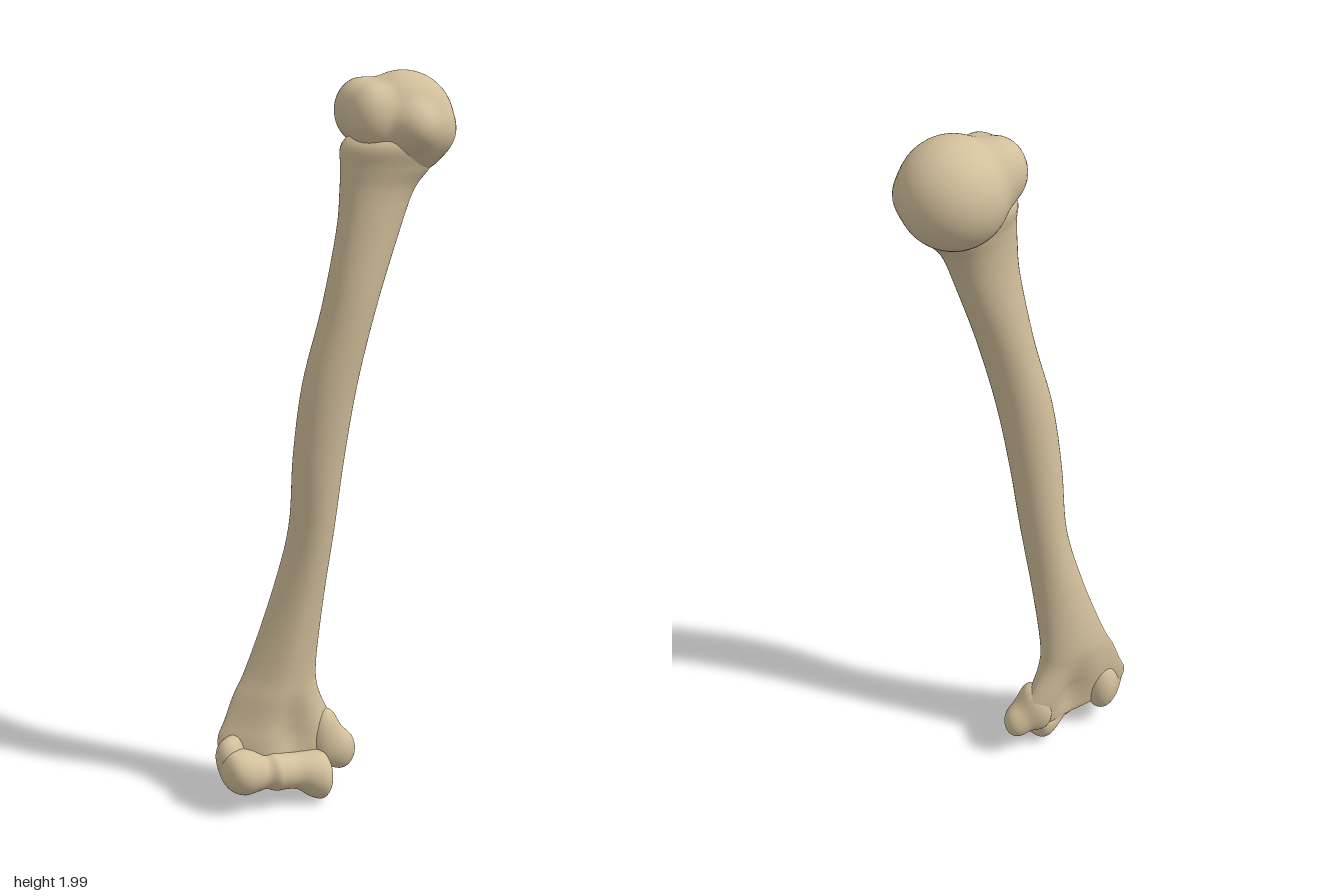
import * as THREE from 'three';
import { mergeVertices } from 'three/addons/utils/BufferGeometryUtils.js';

// Smooth interpolation through rows of section numbers
function sampleRows(rows, u) {
  const i = Math.min(Math.floor(u), rows.length - 2), t = u - i;
  const row = k => rows[Math.max(0, Math.min(rows.length - 1, k))];
  return rows[i].map((b, k) => {
    const c = row(i + 1)[k], m0 = (c - row(i - 1)[k]) / 2, m1 = (row(i + 2)[k] - b) / 2;
    return b + m0 * t + (3 * (c - b) - 2 * m0 - m1) * t * t + (2 * (b - c) + m0 + m1) * t * t * t;
  });
}

// Skin closed rings; place(row, angle) gives a point of the ring
function loft(rows, steps, sides, place) {
  const positions = [], index = [], rings = (rows.length - 1) * steps;
  for (let i = 0; i <= rings; i++) {
    const row = sampleRows(rows, i / steps);
    for (let j = 0; j < sides; j++) positions.push(...place(row, (j / sides) * Math.PI * 2));
  }
  for (let i = 0; i < rings; i++) for (let j = 0; j < sides; j++) {
    const k = (j + 1) % sides, a = i * sides + j, b = i * sides + k;
    index.push(a, a + sides, b, b, a + sides, b + sides);
  }
  const geo = new THREE.BufferGeometry();
  geo.setAttribute('position', new THREE.Float32BufferAttribute(positions, 3));
  geo.setIndex(index);
  geo.computeVertexNormals();
  return geo;
}

// Push a sphere out from a centre onto a soft union of ellipsoids [x, y, z, rx, ry, rz]
function blend(center, lumps, soft) {
  const field = p => lumps.reduce((d, [x, y, z, a, b, c]) => {
    const e = (Math.hypot((p.x - x) / a, (p.y - y) / b, (p.z - z) / c) - 1) * Math.min(a, b, c);
    const h = Math.max(soft - Math.abs(d - e), 0) / soft;
    return Math.min(d, e) - h * h * soft / 4;
  }, 10);
  let geo = new THREE.SphereGeometry(1, 64, 44);
  geo.deleteAttribute('uv');
  geo.deleteAttribute('normal');
  geo = mergeVertices(geo, 1e-4);
  const pos = geo.attributes.position, dir = new THREE.Vector3(), p = new THREE.Vector3();
  const origin = new THREE.Vector3(...center);
  for (let i = 0; i < pos.count; i++) {
    dir.fromBufferAttribute(pos, i).normalize();
    let lo = 0, hi = 0.4;
    for (let n = 0; n < 18; n++) {
      const mid = (lo + hi) / 2;
      if (field(p.copy(origin).addScaledVector(dir, mid)) < 0) lo = mid; else hi = mid;
    }
    p.copy(origin).addScaledVector(dir, lo);
    pos.setXYZ(i, p.x, p.y, p.z);
  }
  geo.computeVertexNormals();
  return geo;
}

export function createModel() {
  const group = new THREE.Group();
  const bone = new THREE.MeshStandardMaterial({ color: 0xd2bf9b });
  bone.name = 'bone';
  const add = (name, geo) => {
    const mesh = new THREE.Mesh(geo, bone);
    mesh.name = name;
    group.add(mesh);
  };

  // Shaft rows: y, centre x, radius x, centre z, radius z, outer thinning, backward sweep, fossa depth
  const shaftRows = [
    [0.08, -0.13, 0.01, -0.07, 0.01, 0, 0, 0],
    [0.10, -0.13, 0.13, -0.07, 0.035, 0.1, 0.03, 0.3],
    [0.15, -0.135, 0.165, -0.073, 0.046, 0.1, 0.05, 0.55],
    [0.20, -0.138, 0.166, -0.078, 0.052, 0.3, 0.055, 0.6],
    [0.25, -0.138, 0.145, -0.083, 0.054, 0.4, 0.05, 0.4],
    [0.32, -0.138, 0.118, -0.086, 0.056, 0.5, 0.045, 0.1],
    [0.40, -0.123, 0.097, -0.087, 0.057, 0.5, 0.035, 0],
    [0.60, -0.083, 0.073, -0.073, 0.061, 0.3, 0.02, 0],
    [0.80, -0.051, 0.061, -0.053, 0.066, 0.1, 0.005, 0],
    [1.00, -0.038, 0.069, -0.035, 0.069, 0, 0, 0],
    [1.20, -0.013, 0.073, -0.018, 0.072, 0, 0, 0],
    [1.40, 0.035, 0.071, -0.003, 0.073, 0, 0, 0],
    [1.60, 0.088, 0.086, 0.003, 0.069, 0, 0, 0],
    [1.70, 0.113, 0.102, 0.003, 0.073, 0, 0, 0],
    [1.76, 0.138, 0.125, 0.005, 0.086, 0, 0, 0],
    [1.82, 0.152, 0.133, 0.005, 0.1, 0, 0, 0],
    [1.87, 0.152, 0.07, 0.005, 0.06, 0, 0, 0],
  ];
  add('shaft', loft(shaftRows, 6, 48, ([y, cx, rx, cz, rz, thin, back, fossa], a) => {
    const x = cx + rx * Math.cos(a), outer = Math.max(0, -Math.cos(a)) ** 2;
    const dent = 1 - fossa * Math.exp(-(((x + 0.115) / 0.05) ** 2));
    return [x, y, cz - back * outer + rz * Math.sin(a) * (1 - thin * outer) * dent];
  }));

  // Upper end: ball and the two tubercles beside it
  add('head', blend([0.16, 1.87, 0.01], [
    [0.19, 1.866, -0.004, 0.134, 0.134, 0.132],
    [0.088, 1.9, -0.035, 0.07, 0.083, 0.075],
    [0.082, 1.885, 0.035, 0.064, 0.082, 0.062],
    [0.172, 1.862, 0.1, 0.056, 0.058, 0.055],
    [0.24, 1.85, 0.068, 0.055, 0.055, 0.05],
  ], 0.025));

  // Elbow spool rows along x: x, centre y, centre z, radius
  const spoolRows = [
    [-0.012, 0.09, -0.035, 0.001],
    [-0.022, 0.085, -0.033, 0.05],
    [-0.045, 0.08, -0.03, 0.07],
    [-0.075, 0.085, -0.032, 0.066],
    [-0.115, 0.1, -0.038, 0.052],
    [-0.155, 0.108, -0.04, 0.052],
    [-0.18, 0.112, -0.042, 0.055],
    [-0.205, 0.115, -0.05, 0.05],
    [-0.235, 0.12, -0.056, 0.06],
    [-0.27, 0.123, -0.058, 0.065],
    [-0.3, 0.128, -0.062, 0.055],
    [-0.318, 0.13, -0.068, 0.03],
    [-0.322, 0.13, -0.07, 0.001],
  ];
  add('elbowSpool', loft(spoolRows, 5, 40, ([x, cy, cz, r], a) =>
    [x, cy + r * Math.cos(a), cz + r * Math.sin(a)]));

  // Knobs on both sides of the elbow
  add('innerEpicondyle', blend([0.015, 0.14, -0.055], [
    [0.034, 0.13, -0.05, 0.044, 0.058, 0.038],
    [-0.005, 0.18, -0.064, 0.04, 0.075, 0.044],
    [-0.025, 0.15, -0.075, 0.03, 0.06, 0.04],
  ], 0.03));
  add('outerEpicondyle', blend([-0.27, 0.15, -0.1], [
    [-0.29, 0.16, -0.09, 0.037, 0.052, 0.038],
    [-0.235, 0.16, -0.115, 0.045, 0.085, 0.042],
    [-0.26, 0.11, -0.085, 0.05, 0.05, 0.045],
  ], 0.03));
  return group;
}
